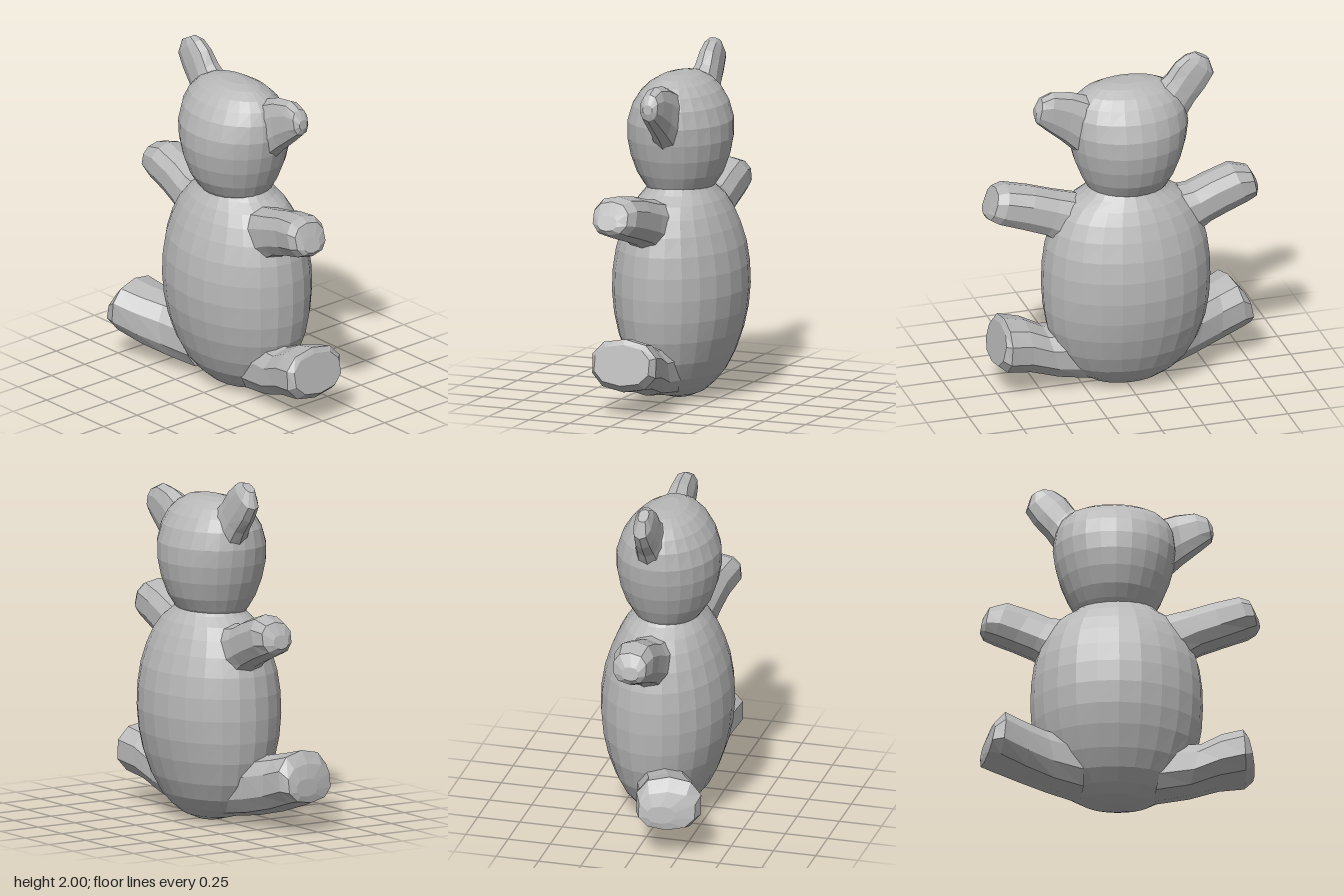
import * as THREE from 'three';

const fur = new THREE.MeshStandardMaterial({ color: 0xb8b8b8, flatShading: true });
fur.name = 'grey fur';

// Skins a row of rings; each ring is { c: centre, u, w: half axes }, running along u x w.
function loft(name, rings, sides, power = 1) {
  const pos = [], index = [];
  const round = v => Math.sign(v) * Math.abs(v) ** power;
  for (const { c, u, w } of rings) {
    for (let j = 0; j < sides; j++) {
      const a = (j / sides) * Math.PI * 2;
      const p = c.clone().addScaledVector(u, round(Math.cos(a))).addScaledVector(w, round(Math.sin(a)));
      pos.push(p.x, p.y, p.z);
    }
  }
  for (let i = 0; i < rings.length - 1; i++) {
    for (let j = 0; j < sides; j++) {
      const k = (j + 1) % sides;
      const a = i * sides + j, b = i * sides + k;
      index.push(a, b, b + sides, a, b + sides, a + sides);
    }
  }
  // End caps
  const last = (rings.length - 1) * sides, n = pos.length / 3;
  const first = rings[0].c, end = rings[rings.length - 1].c;
  pos.push(first.x, first.y, first.z, end.x, end.y, end.z);
  for (let j = 0; j < sides; j++) {
    const k = (j + 1) % sides;
    index.push(n, k, j, n + 1, last + j, last + k);
  }
  const geo = new THREE.BufferGeometry();
  geo.setAttribute('position', new THREE.Float32BufferAttribute(pos, 3));
  geo.setIndex(index);
  geo.computeVertexNormals();
  const mesh = new THREE.Mesh(geo, fur);
  mesh.name = name;
  return mesh;
}

// Upright rounded form from rows of [y, half width, half depth]
function trunk(name, cx, cz, rows) {
  return loft(name, rows.map(([y, hx, hz]) => ({
    c: new THREE.Vector3(cx, y, cz),
    u: new THREE.Vector3(hx, 0, 0),
    w: new THREE.Vector3(0, 0, -hz),
  })), 24);
}

// Limb from rows of [top x, top y, bottom x, bottom y, centre z, half depth]
function limb(name, side, rows, slant = 0, sides = 10) {
  return loft(name, rows.map(([tx, ty, bx, by, z, hz]) => ({
    c: new THREE.Vector3((tx + bx) / 2, (ty + by) / 2, z),
    u: new THREE.Vector3((tx - bx) / 2, (ty - by) / 2, 0),
    w: new THREE.Vector3(slant, 0, 1).multiplyScalar(hz * side),
  })), sides, 0.85);
}

export function createModel() {
  const bear = new THREE.Group();
  bear.name = 'teddyBear';

  bear.add(trunk('body', -0.012, -0.01, [
    [0, 0.08, 0.06], [0.03, 0.2, 0.13], [0.08, 0.29, 0.185], [0.15, 0.36, 0.24],
    [0.25, 0.42, 0.29], [0.38, 0.465, 0.335], [0.5, 0.485, 0.362], [0.63, 0.492, 0.375],
    [0.76, 0.488, 0.37], [0.88, 0.472, 0.35], [0.99, 0.44, 0.315], [1.08, 0.395, 0.277],
    [1.15, 0.335, 0.238], [1.2, 0.255, 0.2], [1.24, 0.215, 0.17],
  ]));

  bear.add(trunk('head', -0.025, 0, [
    [1.18, 0.2, 0.16], [1.23, 0.235, 0.2], [1.3, 0.272, 0.245], [1.4, 0.312, 0.28],
    [1.5, 0.338, 0.298], [1.6, 0.352, 0.295], [1.7, 0.34, 0.262], [1.77, 0.31, 0.216],
    [1.82, 0.26, 0.165], [1.855, 0.19, 0.105], [1.87, 0.1, 0.05],
  ]));

  bear.add(limb('rightEar', -1, [
    [-0.18, 1.82, -0.32, 1.56, -0.03, 0.1], [-0.25, 1.88, -0.41, 1.7, -0.035, 0.075],
    [-0.3, 1.95, -0.48, 1.78, -0.035, 0.065], [-0.36, 1.992, -0.53, 1.86, -0.035, 0.055],
    [-0.42, 2, -0.5, 1.955, -0.03, 0.03],
  ]));
  bear.add(limb('leftEar', 1, [
    [0.2, 1.81, 0.28, 1.46, -0.03, 0.1], [0.32, 1.855, 0.37, 1.55, -0.035, 0.075],
    [0.43, 1.87, 0.47, 1.635, -0.035, 0.065], [0.5, 1.84, 0.53, 1.69, -0.035, 0.055],
    [0.535, 1.785, 0.54, 1.73, -0.035, 0.03],
  ]));

  bear.add(limb('rightArm', -1, [
    [-0.22, 1.16, -0.4, 0.86, -0.02, 0.14], [-0.38, 1.175, -0.5, 0.94, -0.025, 0.125],
    [-0.48, 1.22, -0.61, 0.99, -0.03, 0.12], [-0.63, 1.27, -0.71, 1.03, -0.03, 0.12],
    [-0.735, 1.24, -0.77, 1.06, -0.03, 0.1], [-0.775, 1.17, -0.79, 1.09, -0.02, 0.05],
  ]));
  bear.add(limb('leftArm', 1, [
    [0.22, 1.17, 0.36, 0.88, 0.03, 0.14], [0.38, 1.205, 0.47, 0.95, 0.05, 0.13],
    [0.52, 1.245, 0.6, 0.995, 0.065, 0.128], [0.67, 1.27, 0.74, 1.04, 0.09, 0.135],
    [0.73, 1.25, 0.785, 1.065, 0.1, 0.11], [0.765, 1.175, 0.8, 1.09, 0.11, 0.06],
  ]));

  bear.add(limb('rightLeg', -1, [
    [-0.28, 0.39, -0.22, 0.035, 0.03, 0.17], [-0.45, 0.415, -0.39, 0.06, 0.09, 0.16],
    [-0.57, 0.44, -0.55, 0.1, 0.145, 0.17], [-0.68, 0.47, -0.71, 0.155, 0.185, 0.19],
    [-0.735, 0.4, -0.775, 0.18, 0.19, 0.165], [-0.77, 0.32, -0.785, 0.22, 0.16, 0.08],
  ], 0.18));
  bear.add(limb('leftLeg', 1, [
    [0.28, 0.37, 0.2, 0.035, 0.01, 0.16], [0.47, 0.37, 0.4, 0.065, 0.03, 0.16],
    [0.58, 0.425, 0.57, 0.12, 0.035, 0.18], [0.7, 0.45, 0.72, 0.145, 0.035, 0.205],
    [0.72, 0.42, 0.772, 0.19, 0.035, 0.175],
  ]));

  return bear;
}
